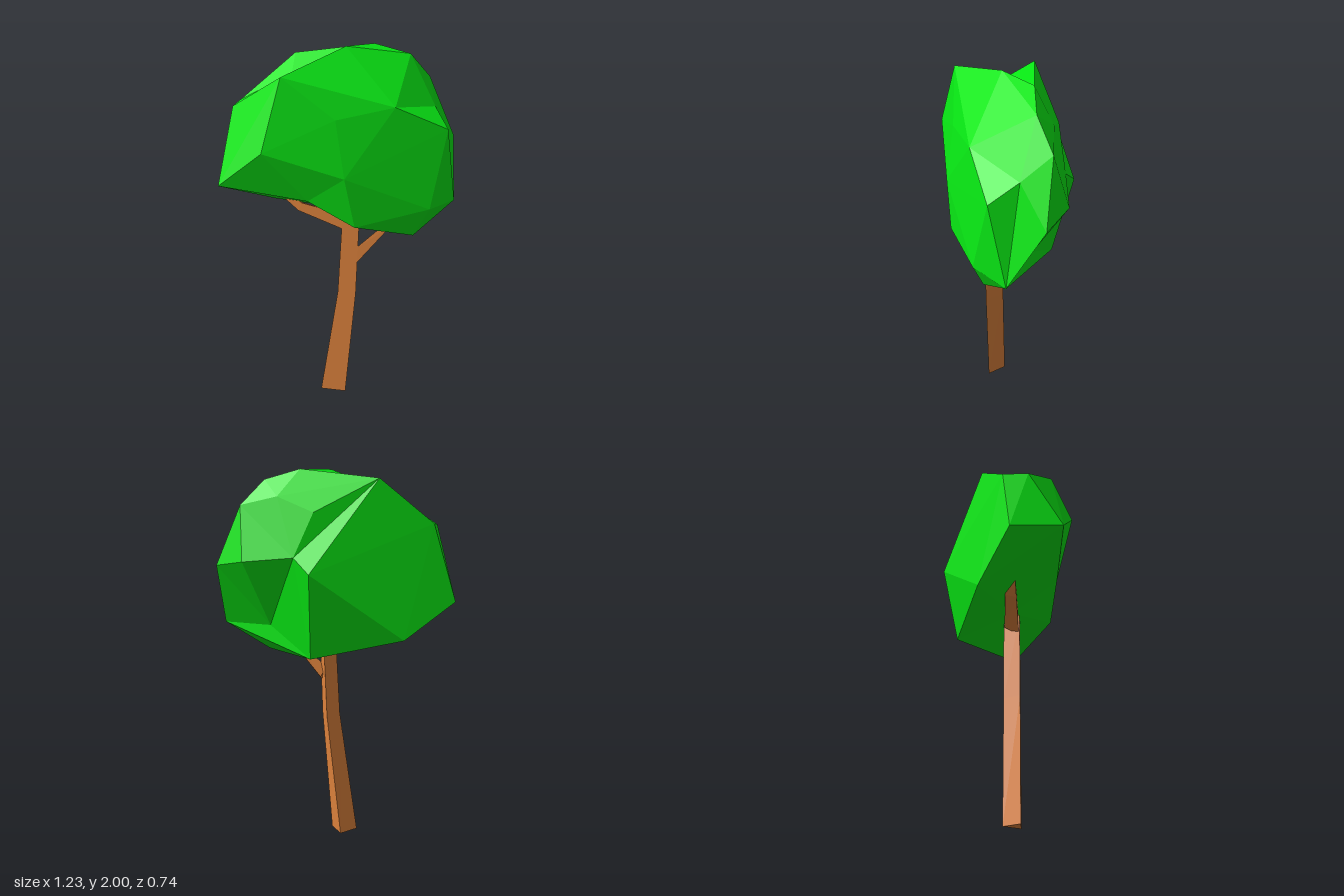
import * as THREE from 'three';
import { ConvexGeometry } from 'three/addons/geometries/ConvexGeometry.js';

const bark = new THREE.MeshStandardMaterial({ color: 0xe2853e, flatShading: true });
const leaf = new THREE.MeshStandardMaterial({ color: 0x08e814, flatShading: true });

// Lofts a three-sided limb. Each section: [leftX, leftY, rightX, rightY, frontZ, backZ];
// the flat side faces forward and the third corner sits behind its middle.
function limb(name, sections) {
  const pos = [];
  const index = [];
  for (const [lx, ly, rx, ry, zf, zb] of sections) {
    pos.push(lx, ly, zf, rx, ry, zf, (lx + rx) / 2, (ly + ry) / 2, zb);
  }
  const n = sections.length;
  for (let s = 0; s < n - 1; s++) {
    for (let i = 0; i < 3; i++) {
      const a = s * 3 + i;
      const b = s * 3 + (i + 1) % 3;
      index.push(a, b, b + 3, a, b + 3, a + 3);
    }
  }
  // end caps
  const t = (n - 1) * 3;
  index.push(0, 2, 1, t, t + 1, t + 2);
  const indexed = new THREE.BufferGeometry();
  indexed.setAttribute('position', new THREE.Float32BufferAttribute(pos, 3));
  indexed.setIndex(index);
  const geometry = indexed.toNonIndexed();
  geometry.computeVertexNormals();
  const mesh = new THREE.Mesh(geometry, bark);
  mesh.name = name;
  return mesh;
}

// Faceted crown: a hull of corner points, some of which are then pushed in as hollows
function crown() {
  const corners = [
    // top
    [0.04, 2.0, -0.01], [0.16, 1.99, -0.17], [0.34, 1.94, -0.2],
    [-0.24, 1.94, -0.13], [-0.22, 1.9, 0.265],
    // shoulders
    [-0.5, 1.72, 0], [-0.5, 1.72, 0.135], [0.3, 1.74, 0.1], [0.03, 1.7, 0.23],
    [0.44, 1.81, -0.285], [0.25, 1.85, -0.27], [0.06, 1.77, -0.28],
    // widest ring
    [-0.3, 1.56, 0.365], [0.08, 1.42, 0.265], [0.555, 1.61, -0.02],
    [0.58, 1.51, -0.28], [0.405, 1.53, -0.365], [0.06, 1.47, -0.37],
    // lower rim
    [-0.615, 1.32, 0.04], [-0.545, 1.36, 0.305], [0.13, 1.16, 0.245],
    [0.49, 1.21, 0.065], [0.61, 1.2, -0.11], [0.41, 1.04, 0.03],
    [0.08, 1.04, -0.28], [-0.375, 1.13, -0.13],
  ];
  // hollows: [position on the hull, position after pushing in]
  const hollows = [
    [[-0.23, 1.97, 0], [-0.23, 1.86, -0.005]], // top fold
    [[0.56, 1.72, -0.16], [0.48, 1.69, -0.15]], // shoulder
    [[0.2, 1.5, -0.42], [0.15, 1.55, -0.33]], // back
    [[0.36, 1.25, -0.32], [0.32, 1.2, -0.2]], // lower back
    [[-0.1, 1.2, 0.31], [-0.1, 1.3, 0.28]], // front rim
    [[0.03, 1.0, 0], [0.03, 1.17, 0.03]], // underside
  ].map((pair) => pair.map((p) => new THREE.Vector3(...p)));

  const points = corners.map((p) => new THREE.Vector3(...p));
  const geometry = new ConvexGeometry([...points, ...hollows.map(([outer]) => outer)]);
  const pos = geometry.attributes.position;
  const v = new THREE.Vector3();
  for (let i = 0; i < pos.count; i++) {
    v.fromBufferAttribute(pos, i);
    for (const [outer, inner] of hollows) {
      if (v.distanceTo(outer) < 1e-4) pos.setXYZ(i, inner.x, inner.y, inner.z);
    }
  }
  geometry.computeVertexNormals();
  const mesh = new THREE.Mesh(geometry, leaf);
  mesh.name = 'crown';
  return mesh;
}

export function createModel() {
  const tree = new THREE.Group();
  tree.name = 'tree';
  tree.add(
    limb('trunk', [
      [-0.085, 0, 0.06, 0, 0.07, -0.02],
      [0.015, 0.68, 0.115, 0.68, 0.07, -0.02],
      [0.04, 1.165, 0.13, 1.16, 0.07, -0.02],
    ]),
    limb('leftBranch', [
      [0.06, 1.055, 0.06, 1.145, 0.065, -0.015],
      [-0.2, 1.15, -0.18, 1.195, 0.06, 0],
      [-0.31, 1.245, -0.24, 1.24, 0.055, 0.01],
    ]),
    limb('rightBranch', [
      [0.09, 0.935, 0.115, 0.865, 0.068, -0.018],
      [0.27, 1.11, 0.295, 1.095, 0.05, 0],
    ]),
    crown(),
  );
  return tree;
}
